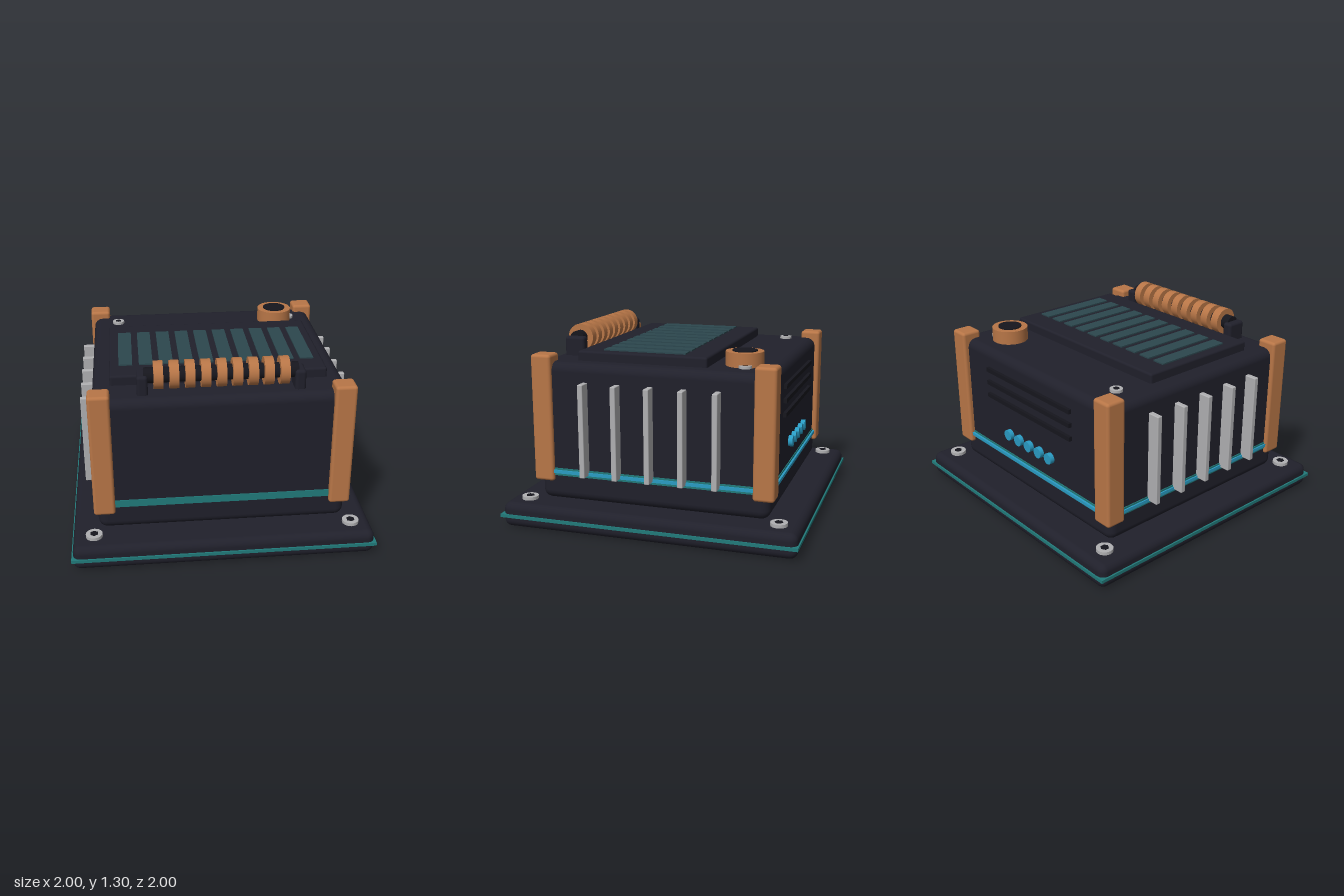
import * as THREE from 'three';
import { RoundedBoxGeometry } from 'three/addons/geometries/RoundedBoxGeometry.js';

const mat = (name, color) => {
  const m = new THREE.MeshStandardMaterial({ color });
  m.name = name;
  return m;
};

export function createModel() {
  const root = new THREE.Group();
  root.name = 'powerUnit';
  const shell = mat('dark shell', 0x20202b);
  const black = mat('black', 0x16161d);
  const copper = mat('copper', 0xb87647);
  const teal = mat('teal', 0x217a7a);
  const blue = mat('glow blue', 0x2a9cc4);
  const steel = mat('steel', 0xb0b0b2);
  const cell = mat('cell teal', 0x2c474e);

  const add = (name, geo, material, x, y, z) => {
    const mesh = new THREE.Mesh(geo, material);
    mesh.name = name;
    mesh.position.set(x, y, z);
    root.add(mesh);
    return mesh;
  };
  const box = (name, m, w, h, d, x, y, z) => add(name, new THREE.BoxGeometry(w, h, d), m, x, y, z);
  const rbox = (name, m, w, h, d, r, x, y, z) =>
    add(name, new RoundedBoxGeometry(w, h, d, 3, r), m, x, y, z);
  const disc = (name, m, r, h, x, y, z, sides = 24) =>
    add(name, new THREE.CylinderGeometry(r, r, h, sides), m, x, y, z);

  // Base plate with a teal trim band
  rbox('basePlate', shell, 1.98, 0.168, 1.98, 0.05, 0, 0.084, 0);
  box('baseTrim', teal, 2, 0.022, 2, 0, 0.08, 0);

  // Main housing and the light band around it
  rbox('housing', shell, 1.64, 0.93, 1.56, 0.06, 0, 0.635, 0);
  box('band', teal, 1.652, 0.05, 1.572, 0, 0.365, 0);
  for (const s of [-1, 1]) box('sideGlow', blue, 0.012, 0.022, 1.45, s * 0.829, 0.367, 0);
  box('backGlow', blue, 1.45, 0.022, 0.016, 0, 0.367, -0.792);

  // Corner posts, bolts and cooling fins
  for (const sx of [-1, 1]) {
    for (const sz of [-1, 1]) {
      rbox('cornerPost', copper, 0.14, 0.85, 0.14, 0.02, sx * 0.775, 0.725, sz * 0.745);
      disc('baseBolt', steel, 0.055, 0.024, sx * 0.85, 0.178, sz * 0.85);
      disc('boltSocket', black, 0.028, 0.004, sx * 0.85, 0.1905, sz * 0.85, 6);
    }
    disc('topBolt', steel, 0.042, 0.02, sx * 0.64, 1.108, -0.57);
    disc('topBoltSocket', black, 0.021, 0.004, sx * 0.64, 1.1185, -0.57, 6);
    for (let i = -2; i <= 2; i++)
      rbox('coolingFin', steel, 0.1, 0.62, 0.036, 0.006, sx * 0.853, 0.67, i * 0.2225);
  }

  // Raised top panel with ten cells
  rbox('topPanel', shell, 1.41, 0.08, 0.88, 0.015, 0, 1.125, 0.1);
  for (let i = 0; i < 10; i++)
    box('cell', cell, 0.09, 0.009, 0.56, (i - 4.5) * 0.1332, 1.1695, 0.1);

  // Coil on a dark core held by two brackets
  const core = disc('coilCore', black, 0.05, 0.98, 0, 1.21, 0.64);
  core.rotation.z = Math.PI / 2;
  for (let i = -4; i <= 4; i++) {
    const turn = disc('coilTurn', copper, 0.09, 0.06, i * 0.0995, 1.21, 0.64, 32);
    turn.rotation.z = Math.PI / 2;
  }
  for (const s of [-1, 1])
    rbox('coilBracket', shell, 0.07, 0.145, 0.14, 0.02, s * 0.5, 1.155, 0.64);

  // Round copper terminal
  disc('terminalRing', copper, 0.123, 0.095, 0.53, 1.145, -0.54, 40);
  disc('terminalCap', black, 0.08, 0.02, 0.53, 1.19, -0.54, 32);

  // Back vents and indicator lights
  for (let i = 0; i < 3; i++) box('vent', black, 0.91, 0.03, 0.03, 0, 0.77 + i * 0.095, -0.787);
  for (let i = -2; i <= 2; i++) {
    const lamp = disc('indicator', blue, 0.038, 0.035, i * 0.113, 0.54, -0.793);
    lamp.rotation.x = Math.PI / 2;
  }
  return root;
}
